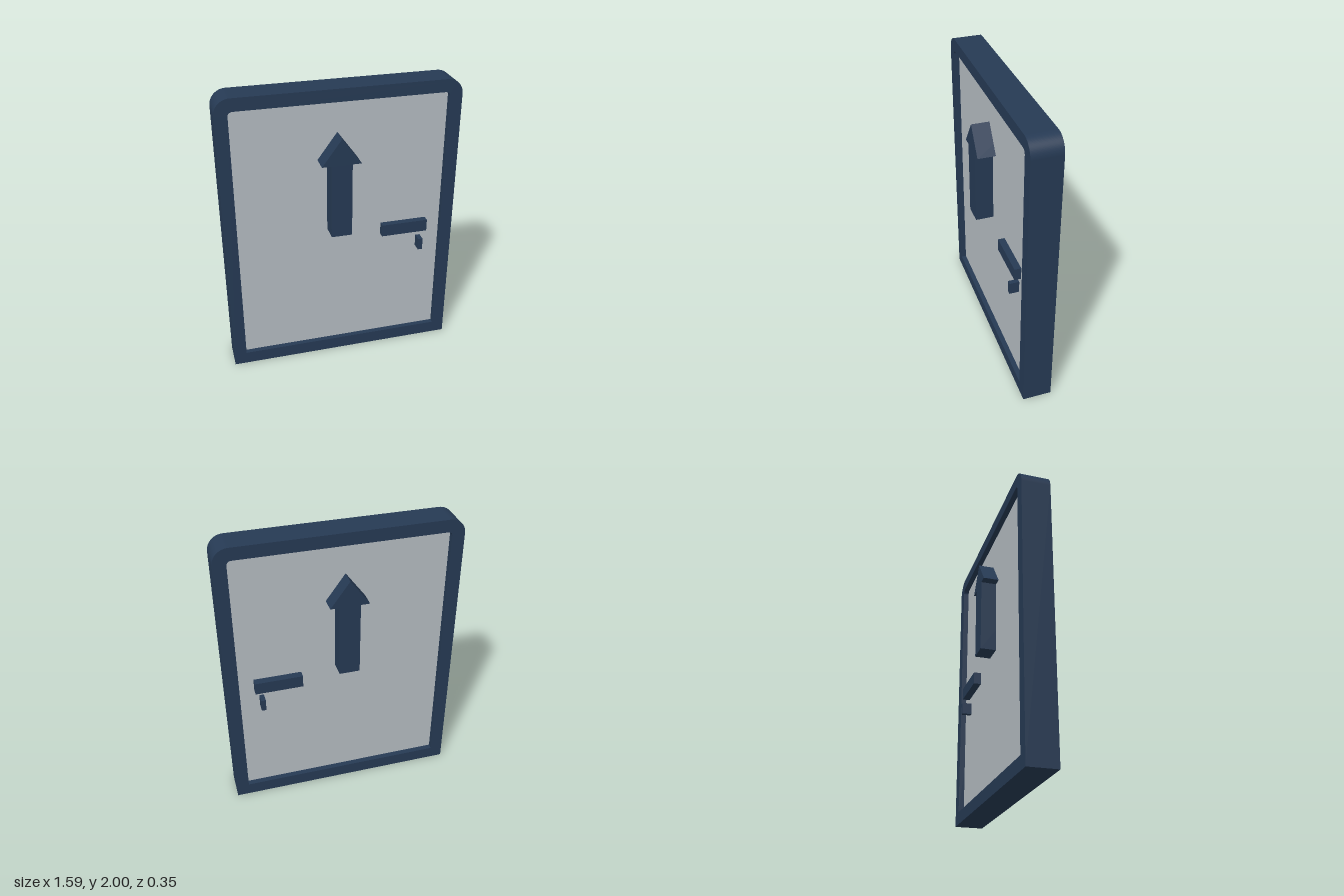
import * as THREE from 'three';

const frameMat = new THREE.MeshStandardMaterial({ color: 0x263a54 });
frameMat.name = 'navy frame';
const panelMat = new THREE.MeshStandardMaterial({ color: 0xb4bbc1 });
panelMat.name = 'pale grey panel';

// Rectangle with rounded top corners and square bottom corners
function archRect(target, x0, x1, y0, y1, r) {
  target.moveTo(x0, y0);
  target.lineTo(x1, y0);
  target.lineTo(x1, y1 - r);
  target.absarc(x1 - r, y1 - r, r, 0, Math.PI / 2, false);
  target.lineTo(x0 + r, y1);
  target.absarc(x0 + r, y1 - r, r, Math.PI / 2, Math.PI, false);
  target.lineTo(x0, y0);
  return target;
}

// Extrude a flat shape between two depths
function plate(name, shape, zBack, zFront, material) {
  const geometry = new THREE.ExtrudeGeometry(shape, {
    depth: zFront - zBack, bevelEnabled: false, curveSegments: 12,
  });
  geometry.translate(0, 0, zBack);
  const mesh = new THREE.Mesh(geometry, material);
  mesh.name = name;
  return mesh;
}

// Box given by its limits
function block(name, x0, x1, y0, y1, z0, z1) {
  const geometry = new THREE.BoxGeometry(x1 - x0, y1 - y0, z1 - z0);
  geometry.translate((x0 + x1) / 2, (y0 + y1) / 2, (z0 + z1) / 2);
  const mesh = new THREE.Mesh(geometry, frameMat);
  mesh.name = name;
  return mesh;
}

export function createModel() {
  const door = new THREE.Group();
  door.name = 'door';

  // Surrounding frame with an opening
  const outline = archRect(new THREE.Shape(), -0.797, 0.795, 0, 2, 0.105);
  outline.holes.push(archRect(new THREE.Path(), -0.712, 0.709, 0.088, 1.915, 0.03));
  door.add(plate('frame', outline, -0.108, 0.09, frameMat));

  // Recessed panel filling the opening
  const opening = archRect(new THREE.Shape(), -0.712, 0.709, 0.088, 1.915, 0.03);
  door.add(plate('panel', opening, -0.07, 0.055, panelMat));

  // Raised arrow passing through to both faces
  const arrow = new THREE.Shape([
    [-0.098, 1.01], [0.042, 1.01], [0.042, 1.525], [0.103, 1.525],
    [-0.027, 1.705], [-0.159, 1.525], [-0.098, 1.525],
  ].map(([x, y]) => new THREE.Vector2(x, y)));
  door.add(plate('arrow', arrow, -0.177, 0.177, frameMat));

  // Handle and lock, showing on both faces
  door.add(block('handle', 0.28, 0.605, 0.915, 1.0, -0.122, 0.1));
  door.add(block('lock', 0.543, 0.574, 0.78, 0.863, -0.137, 0.12));

  return door;
}
